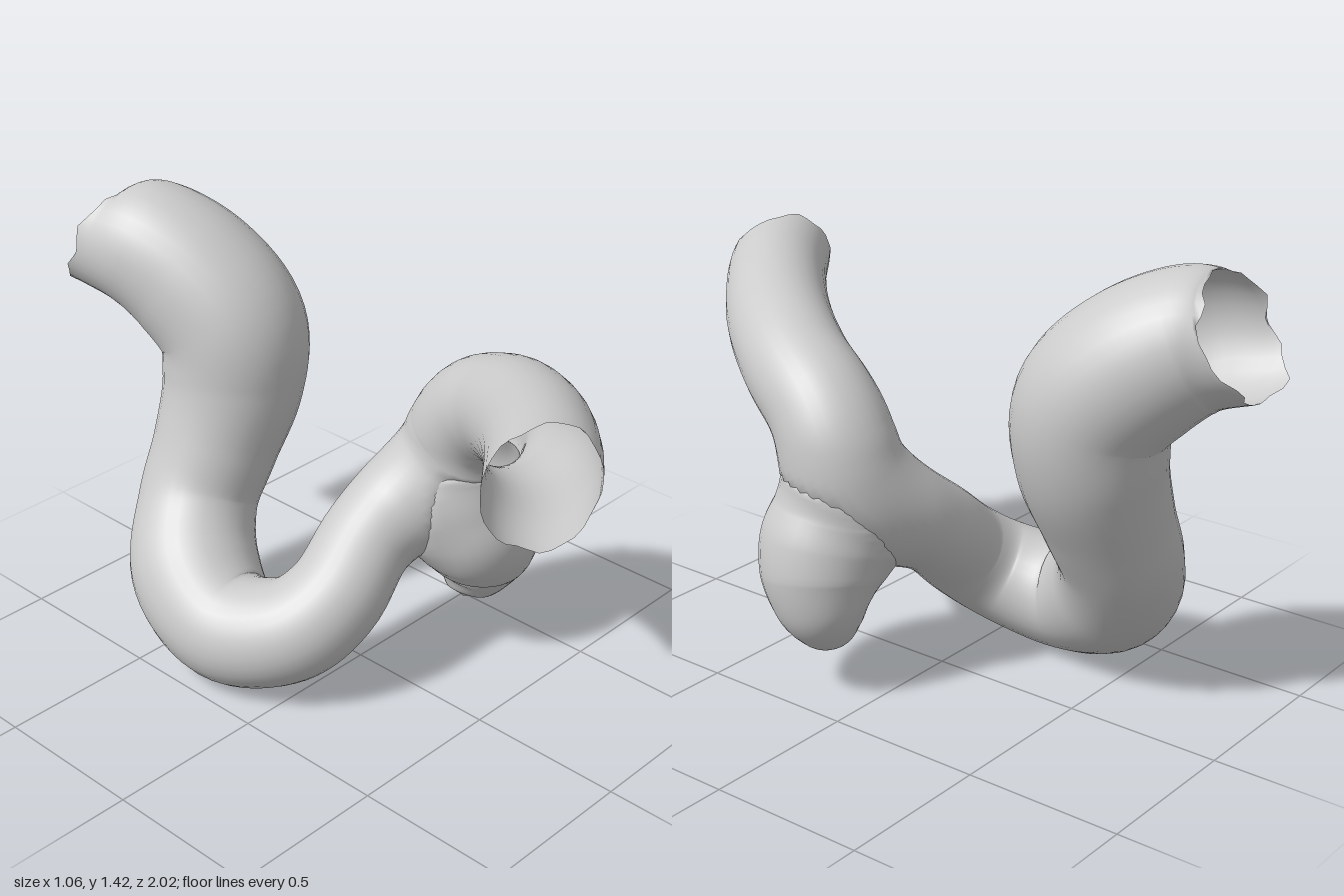
import * as THREE from 'three';

const SIDES = 32;
const BLEND = 0.13;

// Path and radius curves through stations [x, y, z, radius]
function makeSpine(stations) {
  const path = new THREE.CatmullRomCurve3(stations.map(s => new THREE.Vector3(s[0], s[1], s[2])));
  const radii = new THREE.SplineCurve(stations.map((s, i) => new THREE.Vector2(i, s[3])));
  const samples = [];
  for (let i = 0; i <= 100; i++) {
    samples.push({ centre: path.getPoint(i / 100), radius: radii.getPoint(i / 100).y });
  }
  return { path, radii, samples };
}

// Distance from a point to the skin around a spine
function distanceTo(spine, p) {
  return Math.min(...spine.samples.map(s => p.distanceTo(s.centre) - s.radius));
}

// Sweeps a round section along a spine and swells it where it meets another.
// startCut / endCut slant the ragged open rims.
function sweep(spine, other, steps, startCut, endCut) {
  const positions = [], indices = [];
  const normal = new THREE.Vector3(0, 1, 0);
  for (let i = 0; i <= steps; i++) {
    const t = i / steps;
    const centre = spine.path.getPoint(t);
    const tangent = spine.path.getTangent(t);
    // carry the frame along so the section does not twist
    normal.addScaledVector(tangent, -normal.dot(tangent)).normalize();
    const side = new THREE.Vector3().crossVectors(tangent, normal);
    const radius = Math.max(spine.radii.getPoint(t).y, 0);
    for (let j = 0; j < SIDES; j++) {
      const a = (j / SIDES) * Math.PI * 2;
      const out = new THREE.Vector3()
        .addScaledVector(normal, Math.cos(a))
        .addScaledVector(side, Math.sin(a));
      const p = centre.clone().addScaledVector(out, radius);
      // fillet at the junction
      const h = Math.max(BLEND - Math.abs(distanceTo(other, p)), 0) / BLEND;
      if (radius > 0) p.addScaledVector(out, h * h * BLEND / 4);
      const cut = t < 0.06 ? startCut : t > 0.94 ? endCut : null;
      if (cut) {
        const fade = 1 - Math.min(t, 1 - t) / 0.06;
        const ragged = 0.016 * Math.sin(4 * a + 1) + 0.01 * Math.sin(9 * a);
        p.addScaledVector(tangent, fade * radius * out.dot(cut) + (fade > 0.99 ? ragged : 0));
      }
      positions.push(p.x, p.y, p.z);
    }
  }
  for (let i = 0; i < steps; i++) {
    for (let j = 0; j < SIDES; j++) {
      const k = (j + 1) % SIDES;
      const a = i * SIDES + j, b = i * SIDES + k;
      const c = b + SIDES, d = a + SIDES;
      indices.push(a, b, c, a, c, d);
    }
  }
  const geometry = new THREE.BufferGeometry();
  geometry.setAttribute('position', new THREE.Float32BufferAttribute(positions, 3));
  geometry.setIndex(indices);
  geometry.computeVertexNormals();
  return geometry;
}

export function createModel() {
  const group = new THREE.Group();
  group.name = 'curvedVessel';
  const material = new THREE.MeshStandardMaterial({ color: 0xcccccc, side: THREE.DoubleSide });

  // Winding open tube, from the raised back end to the front end
  const tubeSpine = makeSpine([
    [-0.125, 1.235, -0.94, 0.185],
    [-0.09, 1.215, -0.82, 0.21],
    [-0.035, 1.13, -0.68, 0.23],
    [0.00, 0.99, -0.555, 0.235],
    [-0.02, 0.82, -0.535, 0.225],
    [-0.10, 0.62, -0.54, 0.20],
    [-0.19, 0.45, -0.535, 0.19],
    [-0.305, 0.28, -0.43, 0.205],
    [-0.35, 0.185, -0.23, 0.182],
    [-0.28, 0.23, -0.03, 0.165],
    [-0.17, 0.32, 0.04, 0.155],
    [0.00, 0.46, 0.03, 0.147],
    [0.13, 0.56, 0.05, 0.147],
    [0.24, 0.67, 0.115, 0.15],
    [0.275, 0.77, 0.17, 0.163],
    [0.26, 0.87, 0.24, 0.17],
    [0.20, 0.96, 0.40, 0.167],
    [0.06, 1.03, 0.60, 0.165],
    [-0.12, 1.085, 0.78, 0.16],
    [-0.285, 1.11, 0.91, 0.158],
  ]);

  // Rounded sac hanging from the bend
  const sacSpine = makeSpine([
    [0.265, 0.76, 0.17, 0.12],
    [0.268, 0.67, 0.175, 0.15],
    [0.28, 0.57, 0.19, 0.182],
    [0.31, 0.47, 0.20, 0.202],
    [0.343, 0.37, 0.19, 0.188],
    [0.355, 0.29, 0.175, 0.152],
    [0.34, 0.22, 0.165, 0.11],
    [0.32, 0.175, 0.16, 0.065],
    [0.31, 0.155, 0.16, 0],
  ]);

  const tube = new THREE.Mesh(
    sweep(tubeSpine, sacSpine, 150, new THREE.Vector3(0.25, 0.3, 0), new THREE.Vector3(-0.25, -0.3, -0.38)),
    material);
  tube.name = 'windingTube';

  const sac = new THREE.Mesh(sweep(sacSpine, tubeSpine, 60), material);
  sac.name = 'sac';

  group.add(tube, sac);
  return group;
}
